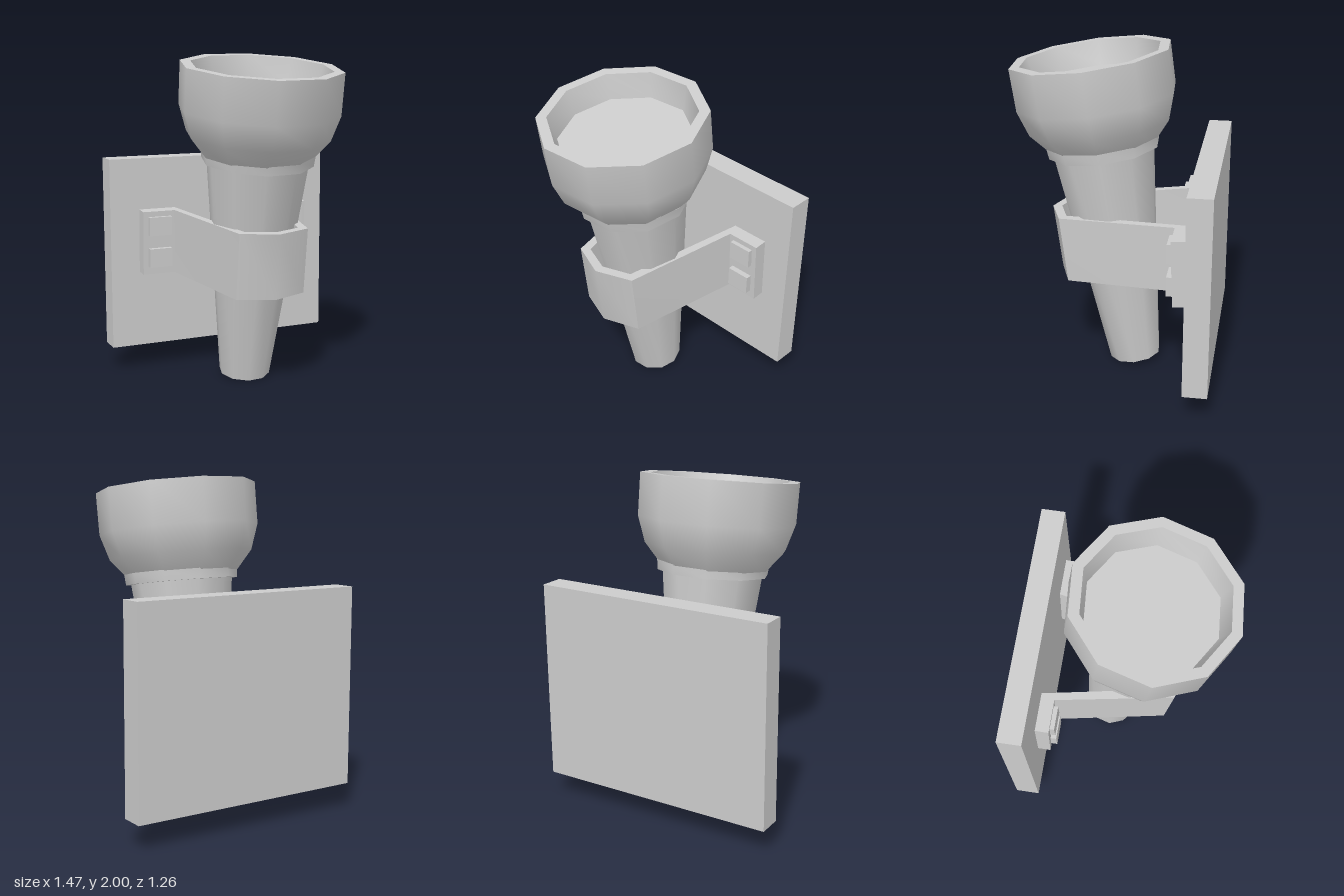
import * as THREE from 'three';
import { toCreasedNormals } from 'three/addons/utils/BufferGeometryUtils.js';

const material = new THREE.MeshStandardMaterial({ color: 0xcccccc });
const CREASE = 0.75;

function addMesh(parent, name, geometry, x = 0, y = 0, z = 0) {
  const mesh = new THREE.Mesh(geometry, material);
  mesh.name = name;
  mesh.position.set(x, y, z);
  parent.add(mesh);
  return mesh;
}

// Ten-sided turned part from [radius, height] pairs, listed bottom to top on the outside
function turned(profile) {
  const points = profile.map(([r, h]) => new THREE.Vector2(r, h));
  const phase = THREE.MathUtils.degToRad(22.5);
  return toCreasedNormals(new THREE.LatheGeometry(points, 10, phase), CREASE);
}

// U-shaped strap with side flanges, leaning forward with the torch
function strapGeometry() {
  // Half outline as [x, z]: outer side from front to flange, then back along the inside
  const outer = [[0.22, 0.3], [0.355, -0.388], [0.56, -0.388], [0.56, -0.468], [0.325, -0.468], [0.172, 0.265]];
  const mirrored = outer.map(([x, z]) => [-x, z]).reverse();
  const outline = [[0, 0.38], ...outer, [0, 0.325], ...mirrored];
  const shape = new THREE.Shape(outline.map(([x, z]) => new THREE.Vector2(x, -z)));
  const geometry = new THREE.ExtrudeGeometry(shape, { depth: 0.4, bevelEnabled: false });
  geometry.rotateX(-Math.PI / 2).translate(0, -0.2, 0);

  // Slope the edges down to the front and lean the front more than the back
  const pos = geometry.attributes.position;
  for (let i = 0; i < pos.count; i++) {
    const v = pos.getY(i), z = pos.getZ(i);
    pos.setY(i, 0.806 - 0.062 * z + v);
    pos.setZ(i, z + v * (0.09 + 0.13 * z));
  }
  return toCreasedNormals(geometry, CREASE);
}

export function createModel() {
  const model = new THREE.Group();
  model.name = 'wallTorch';

  // Wall plate
  addMesh(model, 'wallPlate', new THREE.BoxGeometry(1.47, 1.2, 0.145), 0, 0.755, -0.55);

  // Tilted torch
  const torch = new THREE.Group();
  torch.name = 'torch';
  torch.position.set(0, 0.022, -0.107);
  torch.rotation.x = 0.143;
  model.add(torch);

  addMesh(torch, 'handle', turned([[0, 0], [0.158, 0], [0.314, 1.42], [0, 1.42]]), 0.008);
  addMesh(torch, 'collar', turned([[0, 1.36], [0.338, 1.36], [0.345, 1.425], [0, 1.425]]), 0.008);
  addMesh(torch, 'bowl', turned([
    [0, 1.38], [0.315, 1.38], [0.432, 1.52], [0.482, 1.675], [0.484, 1.93],
    [0.422, 1.93], [0.385, 1.78], [0, 1.78],
  ]));

  // Bracket holding the torch to the wall
  const bracket = new THREE.Group();
  bracket.name = 'bracket';
  bracket.position.x = 0.008;
  model.add(bracket);
  addMesh(bracket, 'strap', strapGeometry());
  for (const side of [-1, 1]) {
    for (const y of [0.738, 0.938]) {
      addMesh(bracket, 'bolt', new THREE.BoxGeometry(0.145, 0.117, 0.045), side * 0.455, y, -0.377);
    }
  }

  return model;
}
